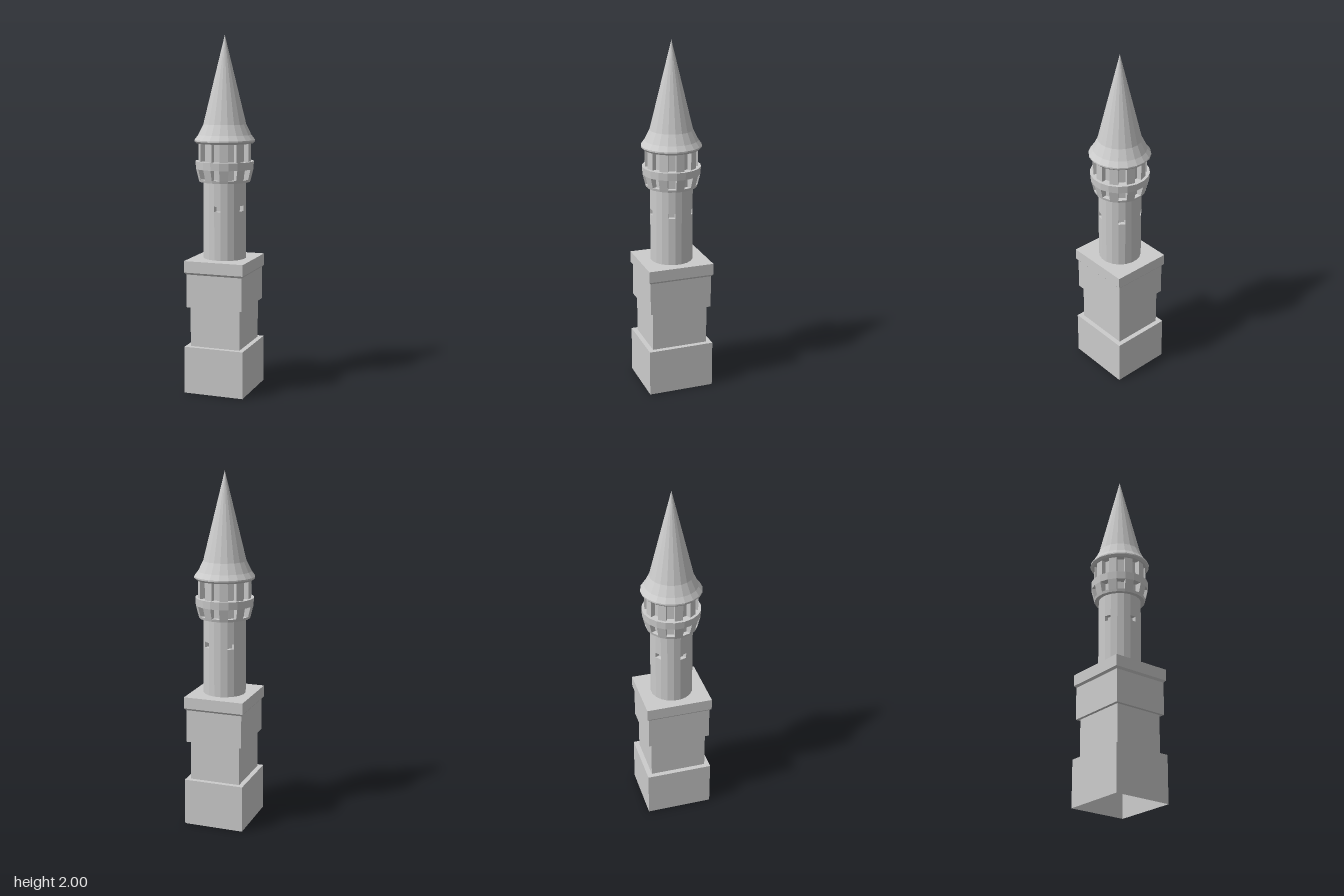
import * as THREE from 'three';

const SIDES = 20;
const STEP = (Math.PI * 2) / SIDES;

// Flat-shaded mesh from a list of corner points, three per triangle
function facetMesh(name, points, material) {
  const geometry = new THREE.BufferGeometry().setFromPoints(points);
  geometry.computeVertexNormals();
  const mesh = new THREE.Mesh(geometry, material);
  mesh.name = name;
  return mesh;
}

function quad(out, a, b, c, d) {
  out.push(a, b, c, a, c, d);
}

// Sweeps a convex closed [distance, y] profile (counter-clockwise) round the
// tower, keeping only the facets for which keep(k) is true. Distances are
// measured to the middle of a facet; facet 0 faces the front.
function facetRing(name, profile, material, keep = () => true) {
  const out = [];
  const at = ([r, y], phi) => {
    const radius = r / Math.cos(STEP / 2);
    return new THREE.Vector3(radius * Math.sin(phi), y, radius * Math.cos(phi));
  };
  for (let k = 0; k < SIDES; k++) {
    if (!keep(k)) continue;
    const p0 = (k - 0.5) * STEP, p1 = (k + 0.5) * STEP;
    const start = profile.map((p) => at(p, p0));
    const end = profile.map((p) => at(p, p1));
    profile.forEach((p, i) => {
      const j = (i + 1) % profile.length;
      if (p[0] === 0 && profile[j][0] === 0) return;
      if (profile[j][0] === 0) out.push(start[i], end[i], end[j]);
      else if (p[0] === 0) out.push(start[i], end[j], start[j]);
      else quad(out, start[i], end[i], end[j], start[j]);
    });
    // Jambs beside a missing facet
    for (let i = 1; i < profile.length - 1; i++) {
      if (!keep((k + SIDES - 1) % SIDES)) out.push(start[0], start[i], start[i + 1]);
      if (!keep((k + 1) % SIDES)) out.push(end[0], end[i + 1], end[i]);
    }
  }
  return facetMesh(name, out, material);
}

// Rectangular cross-sections [halfWidth, y] joined into a shell, open below
function steppedPlinth(name, sections, extraDepth, material) {
  const out = [];
  const loops = sections.map(([w, y]) => {
    const d = w + extraDepth;
    return [[-w, d], [w, d], [w, -d], [-w, -d]].map(([x, z]) => new THREE.Vector3(x, y, z));
  });
  for (let s = 0; s < loops.length - 1; s++) {
    for (let i = 0; i < 4; i++) {
      const j = (i + 1) % 4;
      quad(out, loops[s][i], loops[s][j], loops[s + 1][j], loops[s + 1][i]);
    }
  }
  quad(out, ...loops[loops.length - 1]);
  return facetMesh(name, out, material);
}

export function createModel() {
  const tower = new THREE.Group();
  tower.name = 'tower';
  const stone = new THREE.MeshStandardMaterial({ color: 0xcccccc, flatShading: true });
  const shell = stone.clone();
  shell.side = THREE.DoubleSide;

  const band = (inner, outer, y0, y1, top = outer) =>
    [[inner, y0], [outer, y0], [top, y1], [inner, y1]];

  // Square stepped plinth with a projecting cap
  tower.add(steppedPlinth('plinth', [
    [0.173, 0], [0.173, 0.267],
    [0.145, 0.267], [0.145, 0.493],
    [0.163, 0.493], [0.163, 0.68],
    [0.173, 0.692], [0.173, 0.757],
  ], 0.017, shell));

  // Round shaft with five small windows
  const shaft = new THREE.Group();
  shaft.name = 'shaft';
  shaft.add(
    facetRing('lowerShaft', band(0, 0.119, 0.757, 1.03), stone),
    facetRing('windowCourse', band(0.09, 0.119, 1.03, 1.06), stone, (k) => k % 4 !== 0),
    facetRing('windowBack', band(0, 0.095, 1.03, 1.06), stone),
    facetRing('upperShaft', band(0, 0.119, 1.06, 1.41), stone),
  );
  tower.add(shaft);

  // Flared balcony pierced on every second facet
  const balcony = new THREE.Group();
  balcony.name = 'balcony';
  const odd = (k) => k % 2 === 1;
  balcony.add(
    facetRing('balconyFoot', band(0.11, 0.142, 1.19, 1.205, 0.146), stone),
    facetRing('balconyPiers', band(0.11, 0.146, 1.205, 1.262, 0.16), stone, odd),
    facetRing('balconyRim', band(0.11, 0.16, 1.262, 1.305, 0.163), stone),
  );
  tower.add(balcony);

  // Gallery pillars between the balcony and the roof
  tower.add(facetRing('galleryPillars', band(0.115, 0.147, 1.305, 1.41), stone, odd));

  // Tall spire with flared eaves
  tower.add(facetRing('spire', [
    [0, 1.405], [0.157, 1.405], [0.168, 1.416], [0.168, 1.424],
    [0.147, 1.452], [0.119, 1.51], [0, 2],
  ], stone));

  return tower;
}
